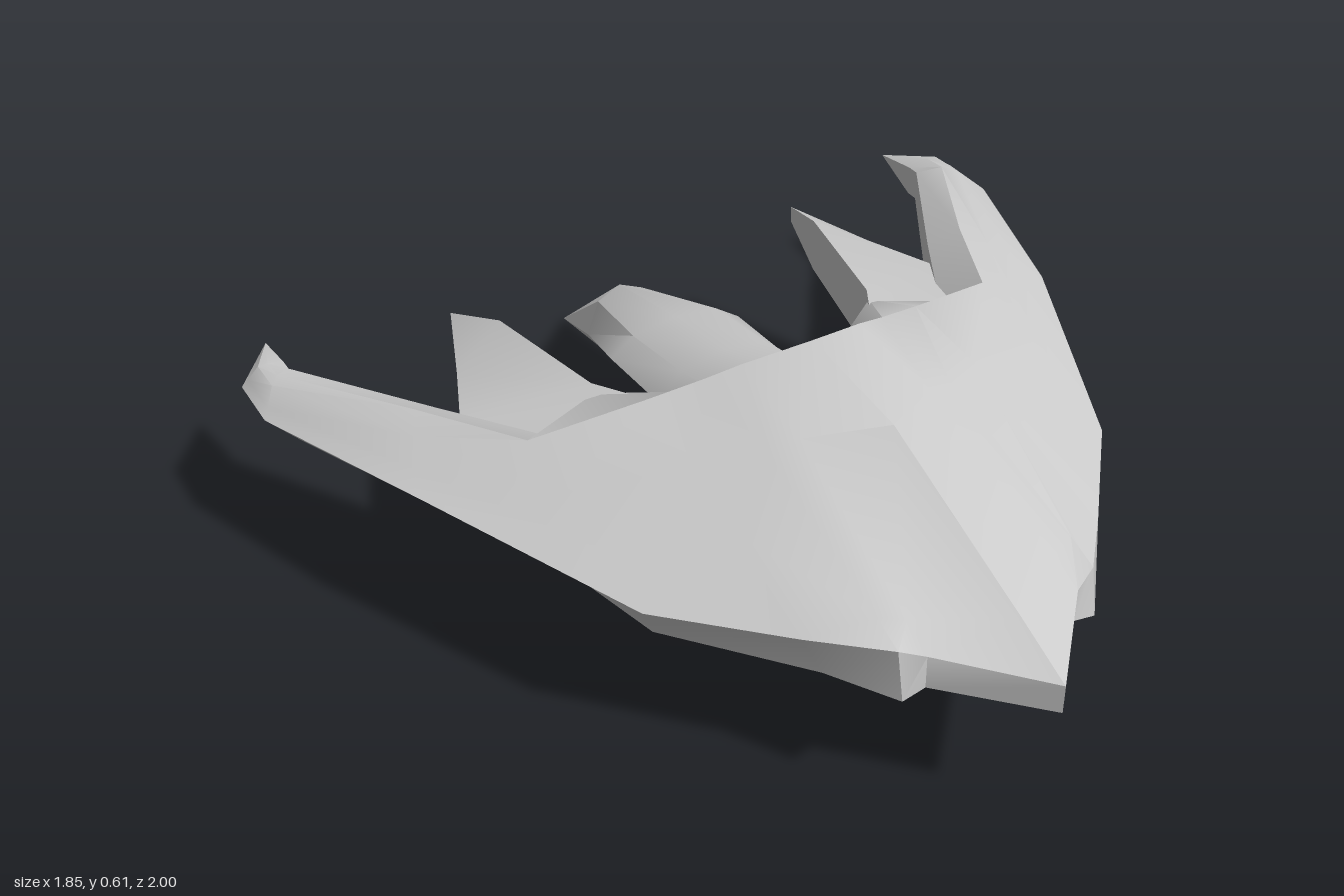
import * as THREE from 'three';
import { toCreasedNormals } from 'three/addons/utils/BufferGeometryUtils.js';

const material = new THREE.MeshStandardMaterial({ color: 0xcccccc, side: THREE.DoubleSide });
const flip = ([x, y, z]) => [-x, y, z];
const mix = (p, q, t, lift = 0) => p.map((v, k) => v + (q[k] - v) * t + (k === 1 ? lift : 0));

// Skin a row of closed cross-sections, skipping collapsed triangles
function loft(name, rings, crease = 0.6) {
  const positions = [];
  const same = (p, q) => p.every((v, k) => v === q[k]);
  const tri = (a, b, c) => {
    if (!same(a, b) && !same(b, c) && !same(a, c)) positions.push(...a, ...b, ...c);
  };
  for (let i = 0; i < rings.length - 1; i++) {
    const r = rings[i], s = rings[i + 1], n = r.length;
    for (let j = 0; j < n; j++) {
      const k = (j + 1) % n;
      tri(r[j], s[j], s[k]);
      tri(r[j], s[k], r[k]);
    }
  }
  const geometry = new THREE.BufferGeometry();
  geometry.setAttribute('position', new THREE.Float32BufferAttribute(positions, 3));
  const mesh = new THREE.Mesh(toCreasedNormals(geometry, crease), material);
  mesh.name = name;
  return mesh;
}

// Hull section: the roof bulges between lead edge and crest, the floor is nearly flat
function hullRing(keel, lead, crest, rear, shoulder, lift) {
  const heel = [rear[0], 0.287, rear[2]];
  return [keel, lead, mix(lead, crest, shoulder, lift * 0.3), mix(lead, crest, 0.66, lift),
    crest, rear, heel, mix(keel, heel, 0.5)];
}

export function createModel() {
  const model = new THREE.Group();
  model.name = 'spacecraft';

  // Hull from the centre line out to the claw tip, mirrored to the other side
  const centre = hullRing([0, .285, 1], [0, .35, 1], [0, .605, .17], [0, .5, .08], .16, .057);
  const half = [
    hullRing([.17, .285, .82], [.17, .36, .82], [.14, .57, .125], [.15, .46, .03], .1, .045),
    hullRing([.22, .275, .82], [.22, .38, .8], [.21, .55, .105], [.22, .44, -.03], .1, .035),
    hullRing([.3, .272, .68], [.34, .365, .67], [.32, .52, .07], [.34, .42, -.13], .4, .024),
    hullRing([.5, .25, .4], [.54, .345, .44], [.55, .465, 0], [.48, .41, -.06], .36, .011),
    hullRing([.62, .236, -.15], [.77, .375, -.06], [.68, .428, -.26], [.62, .385, -.3], .3, .005),
    hullRing([.85, .26, -.5], [.925, .35, -.49], [.86, .388, -.58], [.82, .36, -.63], .25, .012),
    hullRing([.88, .265, -.63], [.925, .35, -.63], [.86, .383, -.64], [.82, .36, -.66], .25, .012),
    Array(8).fill([.82, .34, -.78]),
  ];
  const mirrored = half.map((ring) => ring.map(flip)).reverse();
  model.add(loft('wingHull', [...mirrored, centre, ...half]));

  // Tail spike: depth, half width, edge height, top and keel
  const spike = [
    [.12, .165, .33, .47, .29],
    [-.18, .165, .3, .38, .24],
    [-.4, .165, .285, .34, .176],
    [-.67, .09, .17, .28, .1],
    [-1, 0, 0, 0, 0],
  ].map(([z, w, edge, top, keel]) => {
    const side = [w, edge, z];
    const upper = [w * .65, edge + (top - edge) * .75, z];
    const lower = [w * .65, keel + (edge - keel) * .3, z];
    return [side, upper, [0, top, z], flip(upper), flip(side), flip(lower), [0, keel, z], lower];
  });
  model.add(loft('tailSpike', spike, 0.7));

  // Rear fins: outer top and inner top corners, with the underside height
  const fin = [
    [[.53, .42, 0], [.25, .45, .02], .29],
    [[.59, .37, -.25], [.34, .44, -.14], .29],
    [[.525, .37, -.41], [.4, .44, -.45], .31],
    [[.445, .38, -.62], [.445, .38, -.62], .34],
  ].map(([outer, inner, floor]) =>
    [[outer[0], floor, outer[2]], outer, inner, [inner[0], floor, inner[2]]]);
  model.add(loft('leftFin', fin, 0.4));
  model.add(loft('rightFin', fin.map((ring) => ring.map(flip).reverse()), 0.4));

  return model;
}
